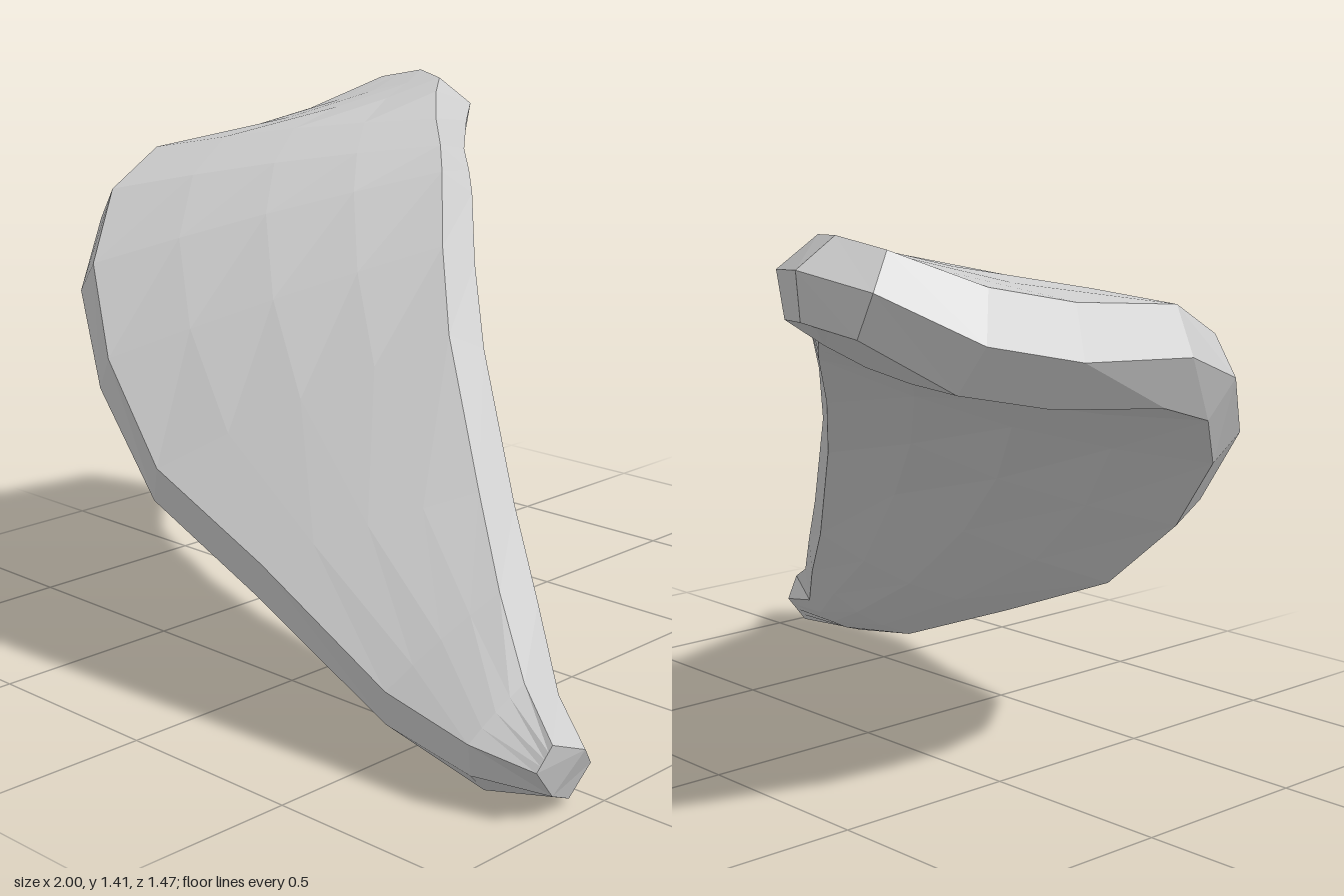
import * as THREE from 'three';

// Paired rim points of the curved plate, from the broad upper end to the tip
const LEFT = [
  [-0.75, 1.395, -0.62], [-0.85, 1.31, -0.42], [-0.90, 1.265, -0.20], [-0.93, 1.24, 0.10],
  [-0.88, 1.15, 0.30], [-0.77, 0.98, 0.46], [-0.58, 0.77, 0.57], [-0.30, 0.55, 0.65],
  [0.10, 0.40, 0.67], [0.54, 0.21, 0.70], [0.80, 0.165, 0.71], [0.96, 0.135, 0.67],
];
const RIGHT = [
  [-0.63, 1.42, -0.66], [-0.50, 1.41, -0.60], [-0.42, 1.385, -0.50], [-0.30, 1.33, -0.37],
  [-0.20, 1.275, -0.28], [-0.12, 1.22, -0.20], [0.03, 1.06, -0.04], [0.20, 0.88, 0.12],
  [0.48, 0.58, 0.32], [0.66, 0.41, 0.45], [0.83, 0.27, 0.56], [0.97, 0.19, 0.63],
];
// Plate thickness and edge bulge at each station
const LEFT_THICK = [0.20, 0.24, 0.24, 0.24, 0.22, 0.20, 0.20, 0.20, 0.21, 0.19, 0.18, 0.17];
const RIGHT_THICK = [0.20, 0.20, 0.20, 0.20, 0.20, 0.20, 0.19, 0.19, 0.19, 0.19, 0.18, 0.17];
const LEFT_BULGE = [0.07, 0.08, 0.08, 0.07, 0.065, 0.065, 0.06, 0.055, 0.05, 0.045, 0.03, 0.03];
const RIGHT_BULGE = [0.07, 0.065, 0.065, 0.065, 0.065, 0.065, 0.065, 0.065, 0.065, 0.065, 0.06, 0.04];

export function createModel() {
  const grey = new THREE.MeshStandardMaterial({ color: 0xcccccc, flatShading: true });
  grey.name = 'pale grey';

  const left = LEFT.map((p) => new THREE.Vector3(...p));
  const right = RIGHT.map((p) => new THREE.Vector3(...p));
  const last = left.length - 1;
  const middles = left.map((p, i) => p.clone().lerp(right[i], 0.5));

  // Face normal at each station
  const normals = left.map((p, i) => {
    const along = middles[Math.min(i + 1, last)].clone().sub(middles[Math.max(i - 1, 0)]);
    return p.clone().sub(right[i]).cross(along).normalize();
  });

  // Closed rim, with a bulging edge ring and a back ring derived from it
  const loop = (a, b) => [...a, ...b.slice().reverse()];
  const rim = loop(left, right);
  const thickness = loop(LEFT_THICK, RIGHT_THICK);
  const bulge = loop(LEFT_BULGE, RIGHT_BULGE);
  const count = rim.length;
  const edge = [], back = [];
  rim.forEach((p, k) => {
    const n = normals[Math.min(k, count - 1 - k)];
    const out = rim[(k + 1) % count].clone().sub(rim[(k + count - 1) % count]).cross(n).normalize();
    edge.push(p.clone().addScaledVector(n, -thickness[k] * 0.5).addScaledVector(out, bulge[k]));
    back.push(p.clone().addScaledVector(n, -thickness[k]).addScaledVector(out, 0.015));
  });

  const positions = [];
  const quad = (a, b, c, d) => [a, b, c, a, c, d].forEach((p) => positions.push(p.x, p.y, p.z));

  // Side bands
  for (let k = 0; k < count; k++) {
    const m = (k + 1) % count;
    quad(rim[k], edge[k], edge[m], rim[m]);
    quad(edge[k], back[k], back[m], edge[m]);
  }

  // Gently domed front and back, spanned from the right rim to the left
  const columns = 4;
  const span = (ring, height) => left.map((p, i) => {
    const row = [];
    for (let c = 0; c <= columns; c++) {
      const dome = height * Math.sin(Math.PI * c / columns) * Math.sqrt(Math.abs(Math.sin(Math.PI * i / last)));
      row.push(ring[count - 1 - i].clone().lerp(ring[i], c / columns).addScaledVector(normals[i], dome));
    }
    return row;
  });
  const front = span(rim, 0.015), rear = span(back, -0.045);
  for (let i = 0; i < last; i++) {
    for (let c = 0; c < columns; c++) {
      quad(front[i][c], front[i][c + 1], front[i + 1][c + 1], front[i + 1][c]);
      quad(rear[i + 1][c], rear[i + 1][c + 1], rear[i][c + 1], rear[i][c]);
    }
  }

  const geometry = new THREE.BufferGeometry();
  geometry.setAttribute('position', new THREE.Float32BufferAttribute(positions, 3));
  geometry.computeVertexNormals();

  // Centre the plate and stand it on the ground
  geometry.computeBoundingBox();
  const box = geometry.boundingBox;
  const centre = box.getCenter(new THREE.Vector3());
  geometry.translate(-centre.x, -box.min.y, -centre.z);

  const plate = new THREE.Mesh(geometry, grey);
  plate.name = 'curvedPlate';
  const group = new THREE.Group();
  group.name = 'curvedLeafShape';
  group.add(plate);
  return group;
}
